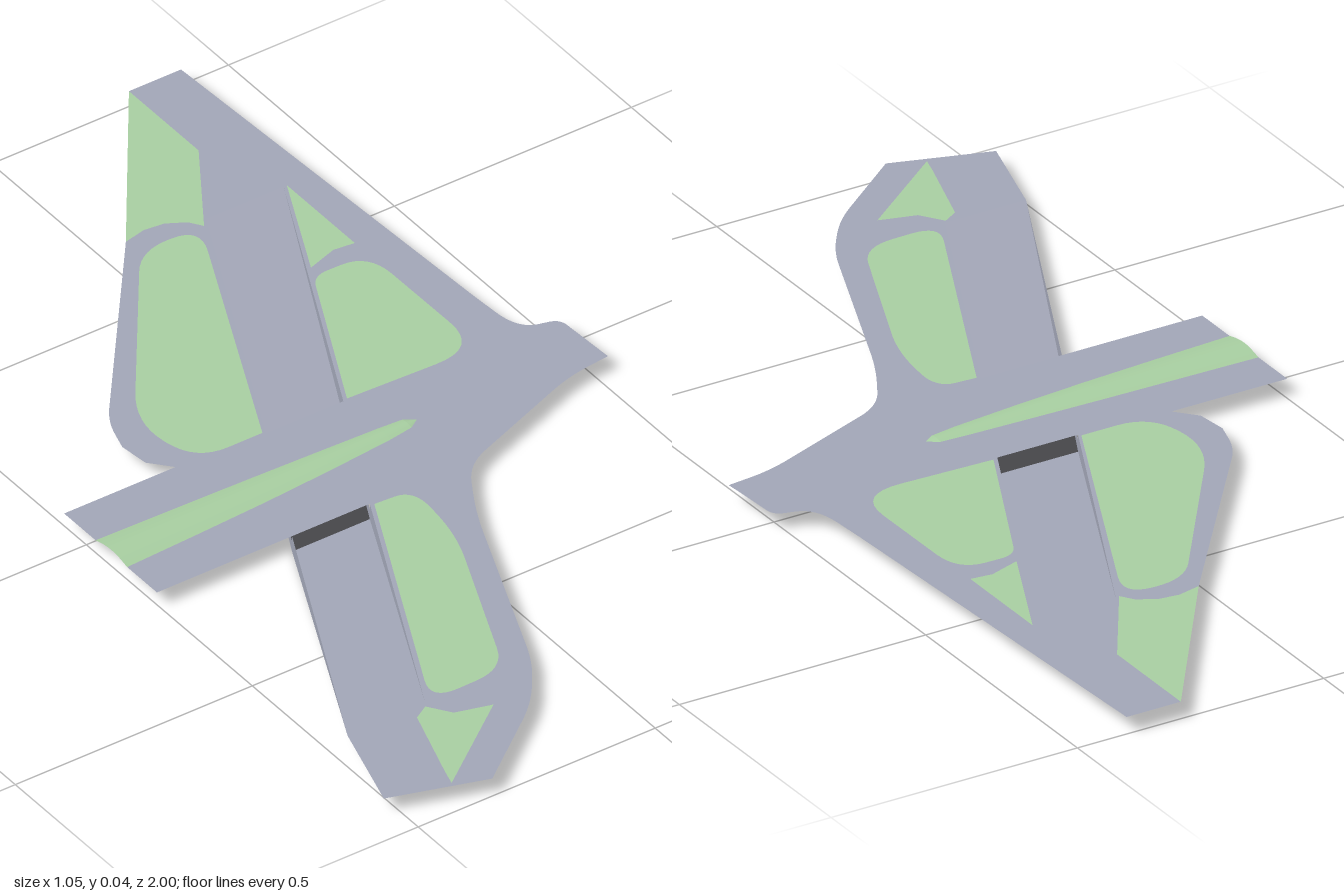
import * as THREE from 'three';

const Y = 0.033;          // street level
const WALL_TOP = 0.022;   // tunnel wall height, open gap above
const LEAN = 0.479;       // sideways run of the underpass per unit of z

const mat = (name, color) => {
  const m = new THREE.MeshStandardMaterial({ color, side: THREE.DoubleSide, flatShading: true });
  m.name = name;
  return m;
};

// Polygon from [x, z, cornerCut] points, corners eased with quadratic curves
function outline(points, Kind = THREE.Shape) {
  const s = new Kind();
  const v = points.map(([x, z]) => new THREE.Vector2(x, -z));
  const n = v.length;
  v.forEach((p, i) => {
    const a = v[(i + n - 1) % n], b = v[(i + 1) % n], r = points[i][2] || 0;
    const from = p.clone().lerp(a, Math.min(0.48, r / p.distanceTo(a)));
    const to = p.clone().lerp(b, Math.min(0.48, r / p.distanceTo(b)));
    if (i === 0) s.moveTo(from.x, from.y); else s.lineTo(from.x, from.y);
    if (r) s.quadraticCurveTo(p.x, p.y, to.x, to.y);
  });
  s.closePath();
  return s;
}

// Sheet joining rows of [x, y, z] points
function sheet(rows) {
  const w = rows[0].length, index = [];
  for (let i = 0; i < rows.length - 1; i++) {
    for (let j = 0; j < w - 1; j++) {
      const a = i * w + j, b = a + w;
      index.push(a, a + 1, b, b, a + 1, b + 1);
    }
  }
  const g = new THREE.BufferGeometry();
  g.setAttribute('position', new THREE.Float32BufferAttribute(rows.flat(2), 3));
  g.setIndex(index);
  g.computeVertexNormals();
  return g;
}

export function createModel() {
  const group = new THREE.Group();
  group.name = 'roadUnderpassJunction';
  const road = mat('road grey', 0xa3a7b8);
  const grass = mat('grass green', 0xa9d0a2);
  const dark = mat('tunnel floor dark', 0x46464a);

  const add = (name, geometry, material) => {
    const m = new THREE.Mesh(geometry, material);
    m.name = name;
    group.add(m);
  };
  const flat = (shape) => new THREE.ShapeGeometry(shape, 8).rotateX(-Math.PI / 2).translate(0, Y, 0);

  // Underpass edges at a given z
  const leftX = (z) => -0.22 - LEAN * (z - 0.22) + (z < 0.22 ? Math.min(1, (0.22 - z) / 0.27) * 0.004 : 0);
  const rightX = (z) => leftX(z) + 0.164;
  const northEnd = -0.62, southEnd = 0.75, northPortal = -0.05, southPortal = 0.22;

  // Grass islands enclosed by the street
  const islands = {
    northWestIsland: [[-0.09, -0.055], [-0.23, -0.055, 0.09], [-0.255, -0.205, 0.09], [0.04, -0.61, 0.06], [0.165, -0.605, 0.07]],
    northEastIsland: [[0.087, -0.053], [0.36, -0.043, 0.09], [0.358, -0.375, 0.07], [0.243, -0.378, 0.03]],
    northEastWedge: [[0.357, -0.62], [0.357, -0.415], [0.315, -0.42], [0.254, -0.40]],
    southIsland: [[-0.05, 0.225], [0.03, 0.23, 0.06], [0.015, 0.38, 0.07], [-0.14, 0.745, 0.06], [-0.298, 0.748, 0.06]],
    southWedge: [[-0.315, 0.757], [-0.285, 0.80], [-0.215, 0.82], [-0.405, 0.965], [-0.395, 0.93], [-0.345, 0.775]],
  };

  // Grass bank along the north-west border
  const bank = [[0.29, -1], [0.29, -0.79], [0.172, -0.605], [0.155, -0.63], [0.12, -0.65], [0.08, -0.655], [0.035, -0.645]];

  // West median, as [x, near z, far z]
  const median = [[-0.505, 0.035, 0.13], [-0.35, 0.038, 0.122], [-0.2, 0.041, 0.113],
    [-0.05, 0.045, 0.101], [0.08, 0.049, 0.088], [0.13, 0.052, 0.08], [0.15, 0.065, 0.067]];

  // Street deck, notched for the bank, the median and the south ramp
  const deck = outline([
    [0.29, -1], [0.40, -1], [0.437, -0.18], [0.445, -0.05, 0.1], [0.52, -0.03, 0.02],
    [0.527, 0.105], [0.437, 0.115, 0.05], [0.15, 0.225, 0.05], [0.08, 0.345, 0.06],
    [-0.09, 0.76, 0.05], [-0.16, 0.855, 0.05], [-0.34, 0.995], [-0.527, 0.935],
    [leftX(southEnd), southEnd], [rightX(southEnd), southEnd], [rightX(southPortal), southPortal],
    [-0.505, 0.22],
    ...median.map(([x, , z]) => [x, z]),
    ...median.map(([x, z]) => [x, z]).reverse(),
    [-0.505, -0.06], [-0.27, -0.06], [-0.305, -0.10], [-0.312, -0.16], [-0.29, -0.235, 0.04],
    ...bank.slice(1).reverse(),
  ]);
  const slot = [[leftX(northPortal), northPortal], [rightX(northPortal), northPortal],
    [rightX(northEnd), northEnd], [leftX(northEnd), northEnd]];
  deck.holes.push(outline(slot, THREE.Path));
  for (const [name, pts] of Object.entries(islands)) {
    deck.holes.push(outline(pts, THREE.Path));
    add(name, flat(outline(pts)), grass);
  }
  add('streetDeck', flat(deck), road);
  add('northWestBank', flat(outline(bank)), grass);

  // Gently domed median
  const medianRows = median.map(([x, z0, z1]) => {
    const row = [];
    for (let j = 0; j <= 8; j++) {
      const t = j / 8;
      row.push([x, Y + 0.085 * (z1 - z0) * Math.sin(Math.PI * t), z0 + (z1 - z0) * t]);
    }
    return row;
  });
  add('westMedian', sheet(medianRows), grass);

  // Sunken carriageway: two ramps and the tunnel between, each with side walls
  const runs = [
    ['northRamp', northEnd, northPortal, Y, 0, Y, road],
    ['tunnel', northPortal, southPortal, 0, 0, WALL_TOP, dark],
    ['southRamp', southPortal, southEnd, 0, Y, Y, road],
  ];
  for (const [name, z0, z1, y0, y1, top, floorMat] of runs) {
    const ends = [[z0, y0], [z1, y1]];
    add(name + 'Floor', sheet(ends.map(([z, y]) => [[leftX(z), y, z], [rightX(z), y, z]])), floorMat);
    for (const [side, edge] of [['West', leftX], ['East', rightX]]) {
      add(name + side + 'Wall', sheet(ends.map(([z, y]) => [[edge(z), y, z], [edge(z), top, z]])), road);
    }
  }
  return group;
}
